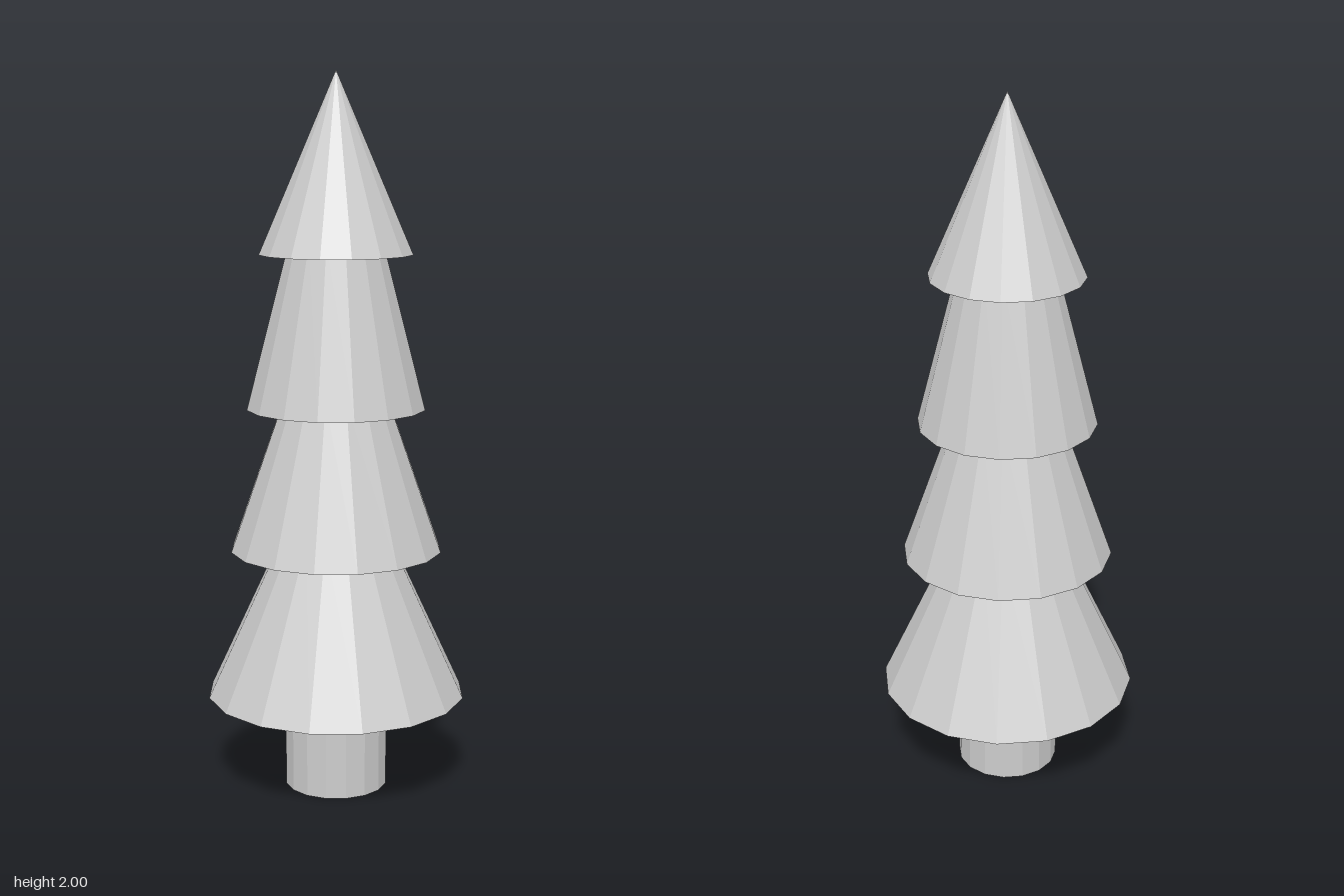
import * as THREE from 'three';

const SIDES = 16;

export function createModel() {
  const tree = new THREE.Group();
  tree.name = 'firTree';

  const grey = new THREE.MeshStandardMaterial({ color: 0xcccccc });
  grey.name = 'pale grey';
  grey.flatShading = true;
  grey.side = THREE.DoubleSide; // the tiers are thin, open skirts

  // Trunk, running up inside the hollow lowest tier
  const trunk = new THREE.Mesh(new THREE.CylinderGeometry(0.145, 0.145, 0.73, SIDES), grey);
  trunk.name = 'trunk';
  trunk.position.y = 0.365;
  tree.add(trunk);

  // Branch tiers as [radius, height] profiles: recessed underside, rim, upper end
  const tiers = {
    lowestTier: [[0.363, 0.27], [0.147, 0.735]],
    lowerMiddleTier: [[0.147, 0.735], [0.296, 0.688], [0.142, 1.125]],
    upperMiddleTier: [[0.142, 1.125], [0.249, 1.087], [0.13, 1.545]],
    topTier: [[0.13, 1.545], [0.213, 1.51], [0, 2]],
  };
  for (const [name, profile] of Object.entries(tiers)) {
    const points = profile.map(([r, y]) => new THREE.Vector2(r, y));
    const tier = new THREE.Mesh(new THREE.LatheGeometry(points, SIDES), grey);
    tier.name = name;
    tree.add(tier);
  }

  return tree;
}
